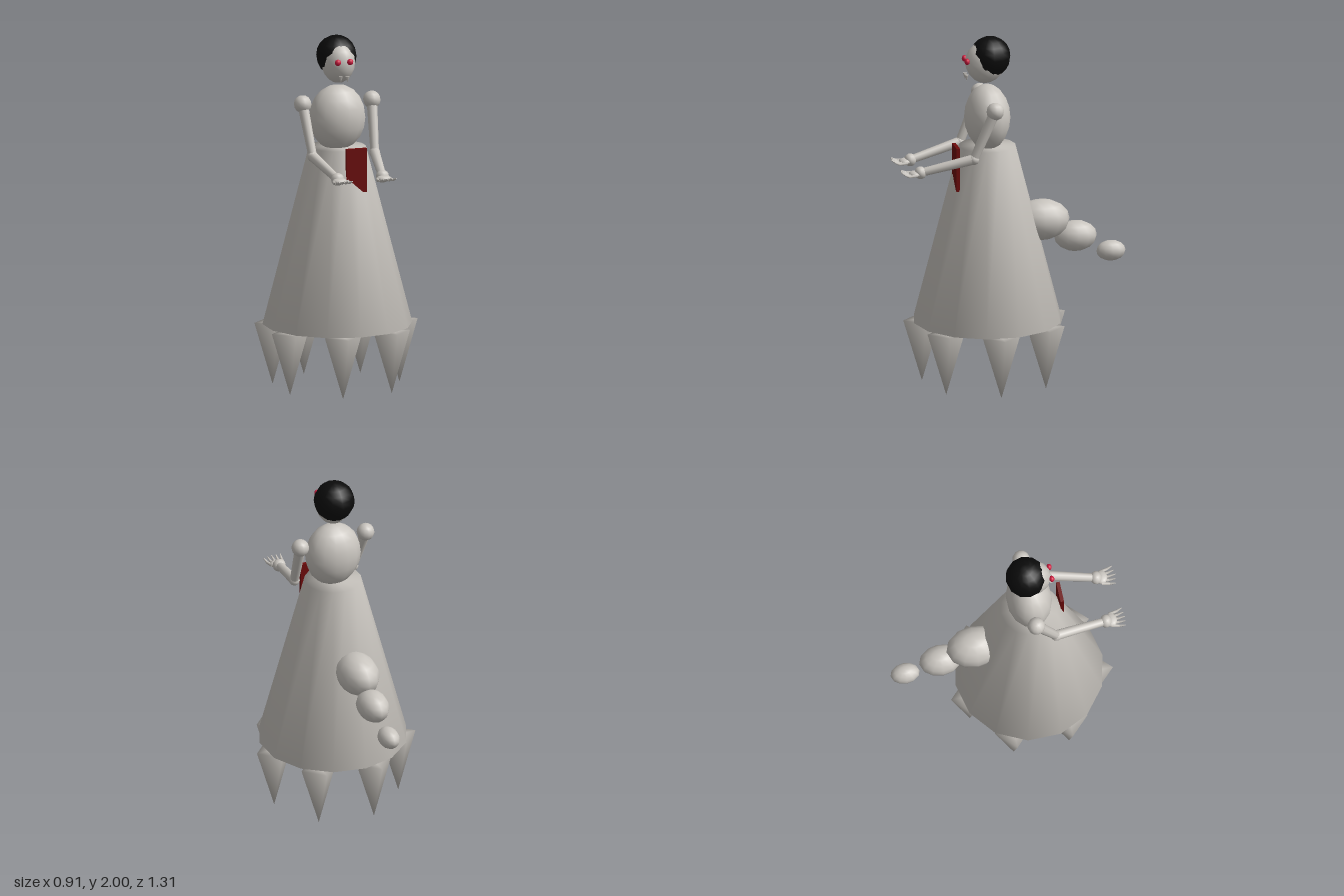
import * as THREE from 'three';
import { mergeVertices } from 'three/addons/utils/BufferGeometryUtils.js';

const CX = -0.02; // body axis
const CZ = 0.133;

const material = (name, color) => {
  const m = new THREE.MeshStandardMaterial({ color });
  m.name = name;
  return m;
};

// Share every vertex so that rims are shaded softly as well
function soften(geometry) {
  geometry.deleteAttribute('normal');
  geometry.deleteAttribute('uv');
  const merged = mergeVertices(geometry, 1e-4);
  merged.computeVertexNormals();
  return merged;
}

export function createModel() {
  const model = new THREE.Group();
  model.name = 'figure';
  const pale = material('pale grey', 0xc9c5bf);
  const black = material('black', 0x0b0b0b);
  const red = material('eye red', 0xd01c40);
  const darkRed = material('dark red', 0x6e0a0a);

  function add(parent, name, geometry, mat, x = 0, y = 0, z = 0) {
    const mesh = new THREE.Mesh(geometry, mat);
    mesh.name = name;
    mesh.position.set(x, y, z);
    parent.add(mesh);
    return mesh;
  }
  function ball(parent, name, mat, [x, y, z], [rx, ry, rz], w = 12, h = 8) {
    const g = new THREE.SphereGeometry(1, w, h).scale(rx, ry, rz);
    return add(parent, name, g, mat, x, y, z);
  }
  // Tapered rod between two points
  function limb(parent, name, from, to, r0, r1, sides = 10) {
    const a = new THREE.Vector3(...from), b = new THREE.Vector3(...to);
    const dir = b.clone().sub(a);
    const g = new THREE.CylinderGeometry(r1, r0, dir.length(), sides);
    const mesh = add(parent, name, g, pale);
    mesh.position.copy(a).add(b).multiplyScalar(0.5);
    mesh.quaternion.setFromUnitVectors(new THREE.Vector3(0, 1, 0), dir.normalize());
    return mesh;
  }

  // Skirt and the ring of claws below it
  add(model, 'skirt', soften(new THREE.CylinderGeometry(0.16, 0.42, 1.01, 14)), pale, CX, 0.865, CZ);
  for (let i = 0; i < 7; i++) {
    const a = (i / 7) * Math.PI * 2;
    const claw = soften(new THREE.ConeGeometry(0.107, 0.355, 4).rotateX(Math.PI));
    add(model, 'skirtClaw', claw, pale, CX + 0.365 * Math.cos(a), 0.1775, CZ + 0.365 * Math.sin(a));
  }

  // Torso and head
  ball(model, 'torso', pale, [CX, 1.535, CZ], [0.163, 0.187, 0.128], 14, 10);
  ball(model, 'head', pale, [CX, 1.855, 0.145], [0.094, 0.12, 0.113], 14, 10);
  ball(model, 'hair', black, [CX, 1.885, 0.116], [0.115, 0.115, 0.115], 12, 10);
  for (const s of [-1, 1]) {
    ball(model, 'eye', red, [CX + s * 0.036, 1.872, 0.256], [0.018, 0.018, 0.015]);
    add(model, 'fang', new THREE.ConeGeometry(0.012, 0.036, 6).rotateX(Math.PI), pale,
      CX + s * 0.02, 1.774, 0.256);
  }

  // Card in front of the waist
  add(model, 'card', new THREE.BoxGeometry(0.12, 0.25, 0.02), darkRed, 0.03, 1.265, 0.322);

  // Tail of three shrinking beads
  ball(model, 'tailBead', pale, [CX, 0.918, -0.178], [0.116, 0.116, 0.16]);
  ball(model, 'tailBead', pale, [CX, 0.812, -0.372], [0.087, 0.087, 0.122]);
  ball(model, 'tailBead', pale, [CX, 0.713, -0.575], [0.058, 0.058, 0.083]);

  // Mirrored arms reaching forward
  for (const s of [-1, 1]) {
    const arm = new THREE.Group();
    arm.name = s > 0 ? 'leftArm' : 'rightArm';
    model.add(arm);
    const at = (dx, y, z) => [CX + s * dx, y, z];
    const shoulder = at(0.203, 1.622, 0.132);
    const elbow = at(0.182, 1.345, 0.25);
    const wrist = at(0.132, 1.272, 0.545);
    ball(arm, 'shoulder', pale, shoulder, [0.05, 0.05, 0.05]);
    limb(arm, 'upperArm', shoulder, elbow, 0.031, 0.025);
    ball(arm, 'elbow', pale, elbow, [0.031, 0.031, 0.031]);
    limb(arm, 'forearm', elbow, wrist, 0.029, 0.023);
    ball(arm, 'wrist', pale, wrist, [0.038, 0.036, 0.034]);
    ball(arm, 'palm', pale, at(0.13, 1.266, 0.575), [0.042, 0.018, 0.035]);
    // Fingers fan out and curl up a little at the tips
    for (let f = -2; f <= 2; f++) {
      const reach = 0.655 - Math.abs(f) * 0.005;
      const base = at(0.128 + f * 0.017, 1.264, 0.57);
      const knuckle = at(0.128 + f * 0.022, 1.263, 0.615);
      const tip = at(0.128 + f * 0.026, 1.277, reach);
      limb(arm, 'finger', base, knuckle, 0.01, 0.008, 6);
      limb(arm, 'fingertip', knuckle, tip, 0.008, 0.003, 6);
    }
  }
  return model;
}
